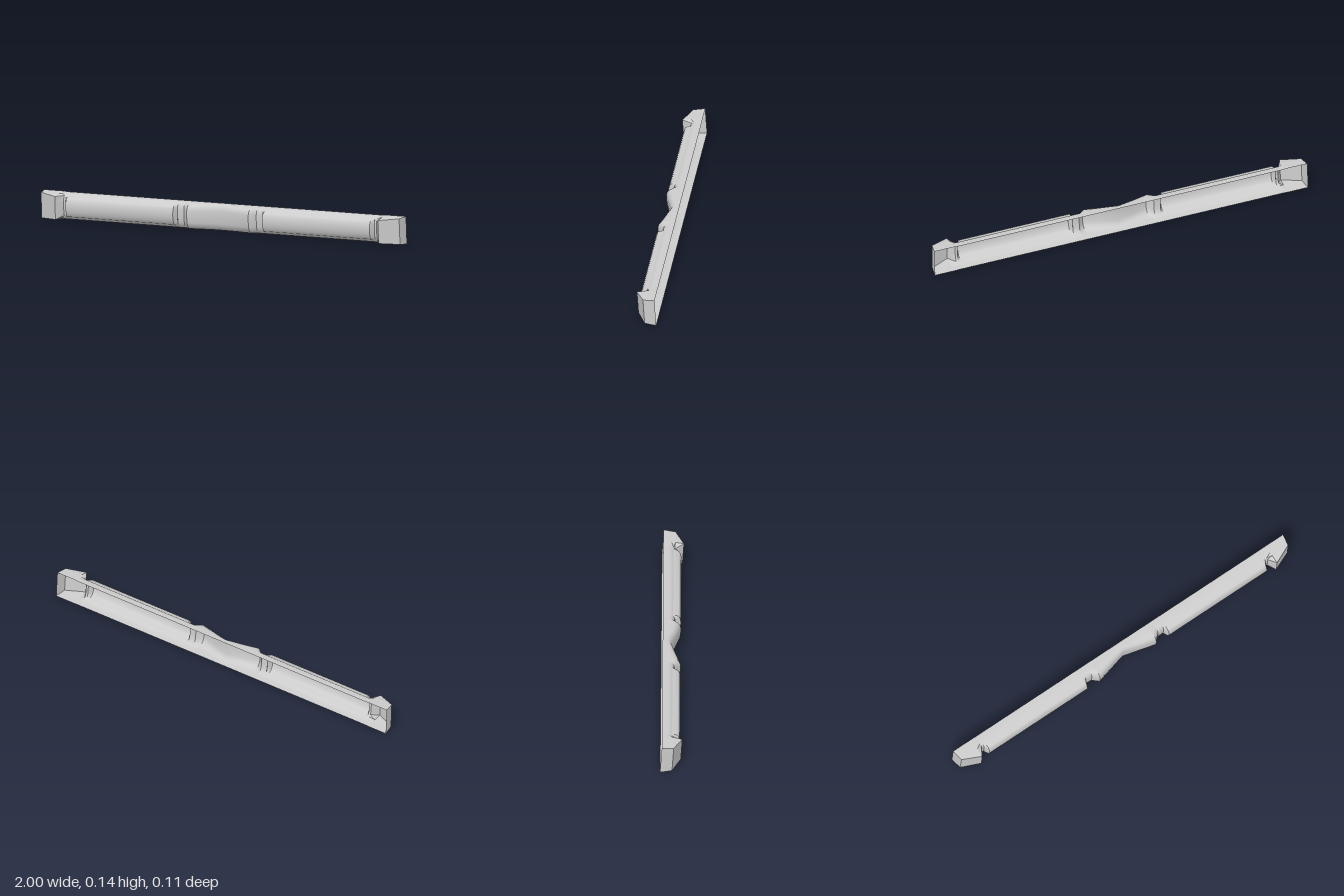
import * as THREE from 'three';

const N = 12, MID = 0.07, HALF = 0.068, BACK = -0.05, E = 0.6;

// Every cross-section leans back slightly with height
const lean = ([y, z]) => [y, z + (y - MID) * 0.065];

// Rounded cross-section of the bar, from top back round the front to bottom back
function arc(f, from = 0, to = N) {
  const pts = [];
  for (let j = from; j <= to; j++) {
    const a = Math.PI / 2 - (Math.PI * j) / N;
    const s = Math.sin(a), c = Math.max(0, Math.cos(a));
    pts.push([MID + HALF * Math.sign(s) * Math.abs(s) ** E, BACK + (f - BACK) * c ** E]);
  }
  return pts;
}
const arcZ = (y, f) =>
  BACK + (f - BACK) * Math.sqrt(1 - (Math.abs(y - MID) / HALF) ** (2 / E)) ** E;

// Angular cross-section of the end blocks
function box(f) {
  const zs = [BACK, -0.03, -0.01, 0.009, f];
  const topY = f > 0.01 ? 0.126 : 0.135, lowY = f > 0.01 ? 0.009 : 0.005;
  const tops = [0.14, 0.1385, 0.1365, 0.135, topY];
  const lows = [0.001, 0.002, 0.003, 0.005, lowY];
  const pts = zs.map((z, i) => [tops[i], z]);
  for (let k = 1; k < 4; k++) pts.push([topY + ((lowY - topY) * k) / 4, f]);
  for (let i = 4; i >= 0; i--) pts.push([lows[i], zs[i]]);
  return pts;
}

// Lamp cross-section: bulging (true) or lying on the bar surface (false)
function lampSection(bulge, flange) {
  const edge = arc(flange, 3, 9), h = edge[0][0] - MID, pts = [];
  for (let k = 0; k <= 12; k++) {
    const u = 1 - k / 6, y = MID + h * u;
    const base = arcZ(y, flange);
    const out = 0.012 + 0.031 * Math.sqrt(Math.max(0, 1 - u * u));
    pts.push([y, bulge && k > 0 && k < 12 ? out : base]);
  }
  return pts;
}

// Surface through stations [x, section]; creased stations do not share vertices
function loft(stations, { smooth = false, flat = false } = {}) {
  const pos = [], idx = [];
  const add = ([x, sec]) => {
    const start = pos.length / 3;
    sec.map(lean).forEach(([y, z]) => {
      // outermost end narrows a little towards the front
      const px = Math.abs(x) === 1 ? x * (1 - 0.01 * Math.max(0, (z - BACK) / 0.06)) : x;
      pos.push(px, y, z);
    });
    return start;
  };
  let a = add(stations[0]);
  for (let i = 1; i < stations.length; i++) {
    if (i > 1 && !smooth) a = add(stations[i - 1]);
    const b = add(stations[i]);
    for (let j = 0; j < stations[i][1].length - 1; j++)
      idx.push(a + j, a + j + 1, b + j, b + j, a + j + 1, b + j + 1);
    a = b;
  }
  let g = new THREE.BufferGeometry();
  g.setAttribute('position', new THREE.Float32BufferAttribute(pos, 3));
  g.setIndex(idx);
  if (flat) g = g.toNonIndexed();
  g.computeVertexNormals();
  return g;
}

// Same stations on either side of the bar, ordered by x
const onSide = (side, st) =>
  side > 0 ? st : st.map(([x, s]) => [-x, s]).reverse();

export function createModel() {
  const group = new THREE.Group();
  const grey = new THREE.MeshStandardMaterial({ color: 0xcccccc, side: THREE.DoubleSide });
  grey.name = 'light grey';
  const add = (name, geo) => {
    const mesh = new THREE.Mesh(geo, grey);
    mesh.name = name;
    group.add(mesh);
  };
  const flange = 0.013;

  // Centre of the bar with its notch
  add('centreNotch', loft([-0.17, -0.08, 0, 0.08, 0.17].map(
    (x) => [x, arc(-0.003 + (0.046 * Math.abs(x)) / 0.17)]), { smooth: true }));

  for (const side of [1, -1]) {
    const label = side > 0 ? 'left' : 'right';

    // Step from the notch down to the lamp frame
    add(label + 'CentreShoulder', loft(onSide(side, [
      [0.17, arc(0.043)], [0.2, arc(flange)], [0.235, arc(flange)]])));

    // Rails above and below the lamp, and the post at its outer end
    for (const [name, from, to] of [['UpperRail', 0, 3], ['LowerRail', 9, 12]])
      add(label + name, loft(onSide(side, [
        [0.235, arc(flange, from, to)], [0.853, arc(flange, from, to)]])));
    add(label + 'OuterPost', loft(onSide(side, [
      [0.853, arc(flange)], [0.865, arc(flange)]])));

    // Long bulging lamp with sloped ends
    add(label + 'Lamp', loft(onSide(side, [
      [0.235, lampSection(false, flange)], [0.247, lampSection(true, flange)],
      [0.84, lampSection(true, flange)], [0.853, lampSection(false, flange)]])));

    // Faceted end block, open at the back
    add(label + 'EndBlock', loft(onSide(side, [
      [0.865, arc(flange)], [0.893, box(0.052)], [1, box(0.0091)]]), { flat: true }));

    // Flat outer side of the end block
    const rim = box(0.0091), half = rim.length >> 1;
    const cap = [rim.slice(0, half + 1), rim.slice(half).reverse()];
    const capGeo = loft([[side, cap[0]], [side, cap[1]]], { flat: true });
    if (side < 0) {
      const p = capGeo.attributes.position;
      for (let i = 0; i < p.count; i += 3) {
        const v = [p.getX(i + 1), p.getY(i + 1), p.getZ(i + 1)];
        p.setXYZ(i + 1, p.getX(i + 2), p.getY(i + 2), p.getZ(i + 2));
        p.setXYZ(i + 2, ...v);
      }
      capGeo.computeVertexNormals();
    }
    add(label + 'EndCap', capGeo);
  }
  return group;
}
